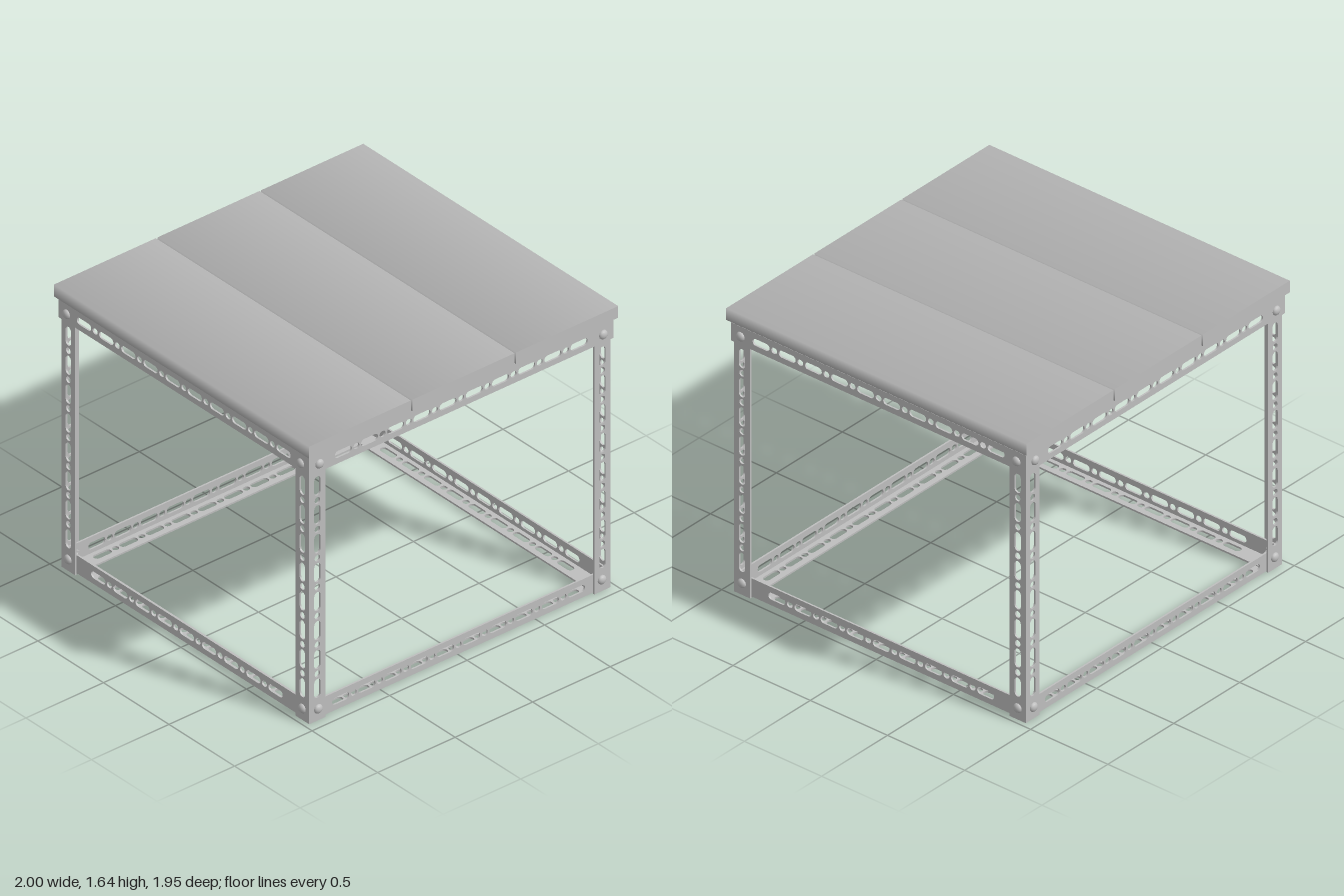
import * as THREE from 'three';

const W = 0.105, T = 0.01; // flange width and sheet thickness
const steel = new THREE.MeshStandardMaterial({ color: 0xbebebe });
steel.name = 'steel grey';

const AXES = {
  x: new THREE.Vector3(1, 0, 0),
  y: new THREE.Vector3(0, 1, 0),
  z: new THREE.Vector3(0, 0, 1),
};

// rounded slot (or round hole when len equals 2r) along x
function slot(cx, len, r) {
  const p = new THREE.Path(), h = len / 2 - r;
  p.absarc(cx + h, 0, r, -Math.PI / 2, Math.PI / 2, false);
  p.absarc(cx - h, 0, r, Math.PI / 2, Math.PI * 1.5, false);
  p.closePath();
  return p;
}

// perforated flange centred on the origin, long in x, wide in y
function flangeGeometry(len) {
  const s = new THREE.Shape();
  s.moveTo(-len / 2, -W / 2);
  s.lineTo(len / 2, -W / 2);
  s.lineTo(len / 2, W / 2);
  s.lineTo(-len / 2, W / 2);
  s.closePath();
  const pitch = 0.169, n = Math.floor((len - 0.2) / pitch);
  for (let i = 0; i < n; i++) {
    const c = (i - (n - 1) / 2) * pitch;
    s.holes.push(slot(c, 0.11, 0.02));
    if (i < n - 1) s.holes.push(slot(c + pitch / 2, 0.038, 0.017));
  }
  const g = new THREE.ExtrudeGeometry(s, { depth: T, bevelEnabled: false, curveSegments: 5 });
  return g.translate(0, 0, -T / 2);
}

function flange(name, len, along, normal, x, y, z) {
  const a = AXES[along], n = AXES[normal];
  const side = new THREE.Vector3().crossVectors(n, a);
  const g = flangeGeometry(len);
  g.applyMatrix4(new THREE.Matrix4().makeBasis(a, side, n));
  const m = new THREE.Mesh(g, steel);
  m.name = name;
  m.position.set(x, y, z);
  return m;
}

// domed bolt head outside and hex nut inside, pointing along dir
function bolt(x, y, z, dir) {
  const b = new THREE.Group();
  b.name = 'bolt';
  const head = new THREE.Mesh(new THREE.SphereGeometry(0.026, 14, 5, 0, Math.PI * 2, 0, Math.PI / 2), steel);
  head.name = 'boltHead';
  head.scale.y = 0.7;
  const nut = new THREE.Mesh(new THREE.CylinderGeometry(0.026, 0.026, 0.02, 6).toNonIndexed(), steel);
  nut.geometry.computeVertexNormals();
  nut.name = 'boltNut';
  nut.position.y = -0.04;
  const shank = new THREE.Mesh(new THREE.CylinderGeometry(0.014, 0.014, 0.055, 10), steel);
  shank.name = 'boltShank';
  shank.position.y = -0.0275;
  b.add(head, nut, shank);
  b.position.set(x, y, z);
  b.quaternion.setFromUnitVectors(AXES.y, dir);
  return b;
}

// long slab whose shading rolls smoothly around its four long sides
function slabGeometry(w, h, d) {
  const g = new THREE.CylinderGeometry(Math.SQRT1_2, Math.SQRT1_2, 1, 4, 1, false, Math.PI / 4);
  g.rotateX(Math.PI / 2);
  const p = g.attributes.position;
  for (let i = 0; i < p.count; i++) p.setXYZ(i, p.getX(i) * w, p.getY(i) * h, p.getZ(i) * d);
  return g;
}

export function createModel() {
  const model = new THREE.Group();
  model.name = 'workTable';
  const X = 0.972, Z = 0.945, legH = 1.56; // outer faces of the legs

  // angle legs and their bolts
  for (const sx of [-1, 1]) for (const sz of [-1, 1]) {
    const leg = new THREE.Group();
    leg.name = 'leg';
    leg.add(
      flange('legFrontFlange', legH, 'y', 'z', sx * (X - W / 2), legH / 2, sz * (Z - T / 2)),
      flange('legSideFlange', legH, 'y', 'x', sx * (X - T / 2), legH / 2, sz * (Z - W / 2)),
    );
    model.add(leg);
    for (const [y, out] of [[0.068, 0], [1.505, T]]) {
      model.add(bolt(sx * 0.915, y, sz * (Z + out), new THREE.Vector3(0, 0, sz)));
      model.add(bolt(sx * (X + out), y, sz * 0.893, new THREE.Vector3(sx, 0, 0)));
    }
  }

  for (const s of [-1, 1]) {
    // upper rails wrap outside the legs, with a flange under the top
    const xo = X + T, zo = Z + T, yt = 1.57;
    model.add(
      flange('upperRailFace', 2 * xo, 'x', 'z', 0, yt - W / 2 - 0.008, s * (zo - T / 2)),
      flange('upperRailLedge', 2 * X, 'x', 'y', 0, yt - T / 2, s * (zo - W / 2)),
      flange('upperSideRailFace', 2 * zo, 'z', 'x', s * (xo - T / 2), yt - W / 2 - 0.008, 0),
      flange('upperSideRailLedge', 2 * Z, 'z', 'y', s * (xo - W / 2), yt - T / 2 + 0.003, 0),
    );
    // lower rails sit inside the legs, with a flange along the bottom
    const xi = X - T, zi = Z - T;
    model.add(
      flange('lowerRailFace', 2 * xi, 'x', 'z', 0, 0.006 + W / 2, s * (zi - T / 2)),
      flange('lowerRailLedge', 2 * xi, 'x', 'y', 0, 0.006 + T / 2, s * (zi - W / 2)),
      flange('lowerSideRailFace', 2 * zi, 'z', 'x', s * (xi - T / 2), 0.008 + W / 2, 0),
      flange('lowerSideRailLedge', 2 * zi, 'z', 'y', s * (xi - W / 2), 0.012 + T / 2, 0),
    );
  }

  // three top planks
  for (const i of [-1, 0, 1]) {
    const plank = new THREE.Mesh(slabGeometry(0.658, 0.068, 1.945), steel);
    plank.name = 'topPlank';
    plank.position.set(i * 0.669, 1.611, 0);
    model.add(plank);
  }
  return model;
}
